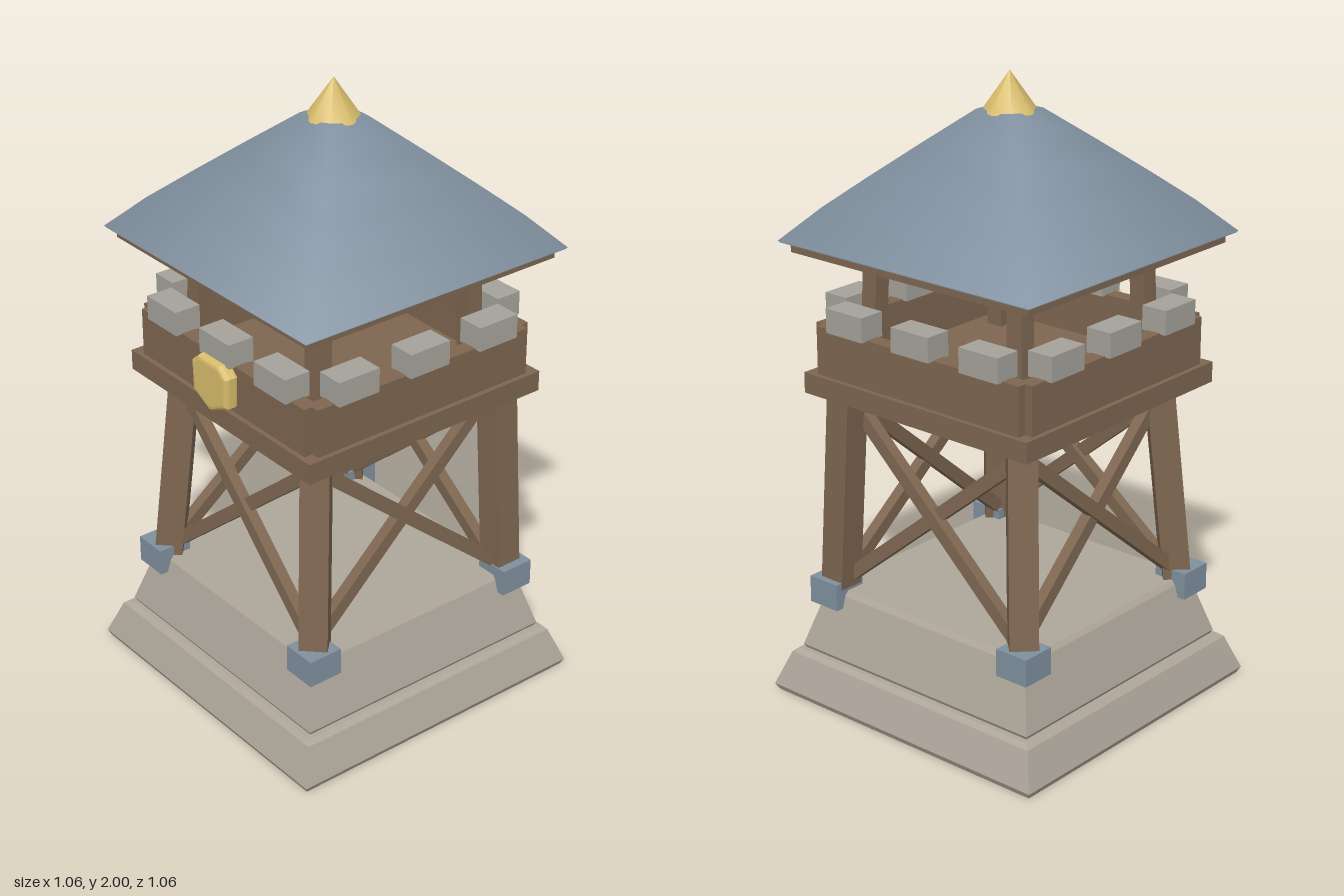
import * as THREE from 'three';

const mat = (name, color) => {
  const m = new THREE.MeshStandardMaterial({ color });
  m.name = name;
  return m;
};

export function createModel() {
  const stone = mat('warm stone', 0xaea69a);
  const block = mat('grey stone', 0xa5a29a);
  const wood = mat('timber', 0x7d6650);
  const slate = mat('slate blue', 0x80909f);
  const gold = mat('gold', 0xd9bd6c);

  const model = new THREE.Group();
  model.name = 'watchtower';

  const add = (name, geometry, material, parent = model) => {
    const mesh = new THREE.Mesh(geometry, material);
    mesh.name = name;
    parent.add(mesh);
    return mesh;
  };
  const group = (name) => {
    const g = new THREE.Group();
    g.name = name;
    model.add(g);
    return g;
  };
  const box = (name, size, pos, material, parent) => {
    const m = add(name, new THREE.BoxGeometry(...size), material, parent);
    m.position.set(...pos);
    return m;
  };
  // Square solid from [half width, height] pairs, listed upwards on the outside
  const squareLathe = (profile, smooth) => {
    const pts = profile.map(([r, y]) => new THREE.Vector2(r * Math.SQRT2, y));
    const g = new THREE.LatheGeometry(pts, 4, Math.PI / 4);
    if (smooth) return g;
    const flat = g.toNonIndexed();
    flat.computeVertexNormals();
    return flat;
  };
  // Timber running between two points, turned about its own axis
  const beam = (name, from, to, w, d, twist, parent) => {
    const a = new THREE.Vector3(...from), b = new THREE.Vector3(...to);
    const dir = b.clone().sub(a);
    const m = add(name, new THREE.BoxGeometry(w, dir.length(), d), wood, parent);
    m.position.copy(a).add(b).multiplyScalar(0.5);
    m.quaternion.setFromUnitVectors(new THREE.Vector3(0, 1, 0), dir.normalize());
    m.rotateY(twist);
    return m;
  };

  // Stepped stone base with softened edges
  add('lowerBase', squareLathe([[0, 0], [0.522, 0], [0.532, 0.02], [0.49, 0.132], [0.475, 0.145], [0, 0.145]]), stone);
  add('upperBase', squareLathe([[0, 0.14], [0.455, 0.14], [0.464, 0.157], [0.407, 0.345], [0.395, 0.36], [0, 0.36]]), stone);

  // Leaning legs, metal feet and the posts that carry the roof
  const supports = group('supports');
  for (const sx of [-1, 1]) {
    for (const sz of [-1, 1]) {
      const upright = sx === 1 && sz === -1;
      beam('leg',
        [sx * 0.378, 0.31, sz * 0.378],
        [sx * 0.325, 1.02, sz * (upright ? 0.378 : 0.325)],
        0.088, 0.088, upright ? 0 : Math.PI / 4, supports);
      box('foot', [0.115, 0.088, 0.115], [sx * 0.387, 0.35, sz * 0.387], slate, supports);
      beam('roofPost', [sx * 0.295, 1.06, sz * 0.295], [sx * 0.282, 1.47, sz * 0.282], 0.056, 0.056, 0, supports);
    }
  }

  // Parts repeated on all four sides
  for (let i = 0; i < 4; i++) {
    const side = group('side');
    side.rotation.y = i * Math.PI / 2;
    for (const s of [-1, 1]) {
      beam('crossBrace',
        [s * 0.34, 0.405, 0.36 + s * 0.008],
        [-s * 0.32, 0.955, 0.322 + s * 0.008], 0.042, 0.036, 0, side);
    }
    box('parapetWall', [0.8, 0.16, 0.05], [0, 1.15, 0.402], wood, side);
    for (const x of [-0.265, 0, 0.265]) {
      box('merlon', [0.147, 0.078, 0.088], [x, 1.266, 0.403], block, side);
    }
  }

  // Platform and the inward-sloping ring beneath it
  box('platform', [0.886, 0.066, 0.886], [0, 1.043, 0], wood);
  add('platformRing', squareLathe([[0.275, 1.012], [0.275, 0.945], [0.3, 0.945], [0.355, 1.012]]), slate);

  // Roof
  box('eavesBoard', [0.925, 0.035, 0.925], [0, 1.476, 0], wood);
  box('roofUnderside', [0.974, 0.006, 0.974], [0, 1.493, 0], slate);
  add('roof', squareLathe([[0.49, 1.494], [0.395, 1.595], [0.295, 1.687], [0.185, 1.785], [0.07, 1.885], [0, 1.895]], true), slate);

  // Finial
  const finial = add('finial', new THREE.ConeGeometry(0.086, 0.122, 8), gold);
  finial.position.y = 1.939;

  // Rounded shield on the front wall
  const outline = [[-0.045, 0.068], [-0.072, 0.045], [-0.068, -0.037], [0, -0.07], [0.068, -0.037], [0.072, 0.045], [0.045, 0.068]];
  const shieldShape = new THREE.Shape(outline.map(([x, y]) => new THREE.Vector2(x, y)));
  const shield = add('shield', new THREE.ExtrudeGeometry(shieldShape, {
    depth: 0.02, bevelEnabled: true, bevelThickness: 0.015, bevelSize: 0.016, bevelSegments: 3,
  }), gold);
  shield.position.set(0, 1.15, 0.436);

  return model;
}
